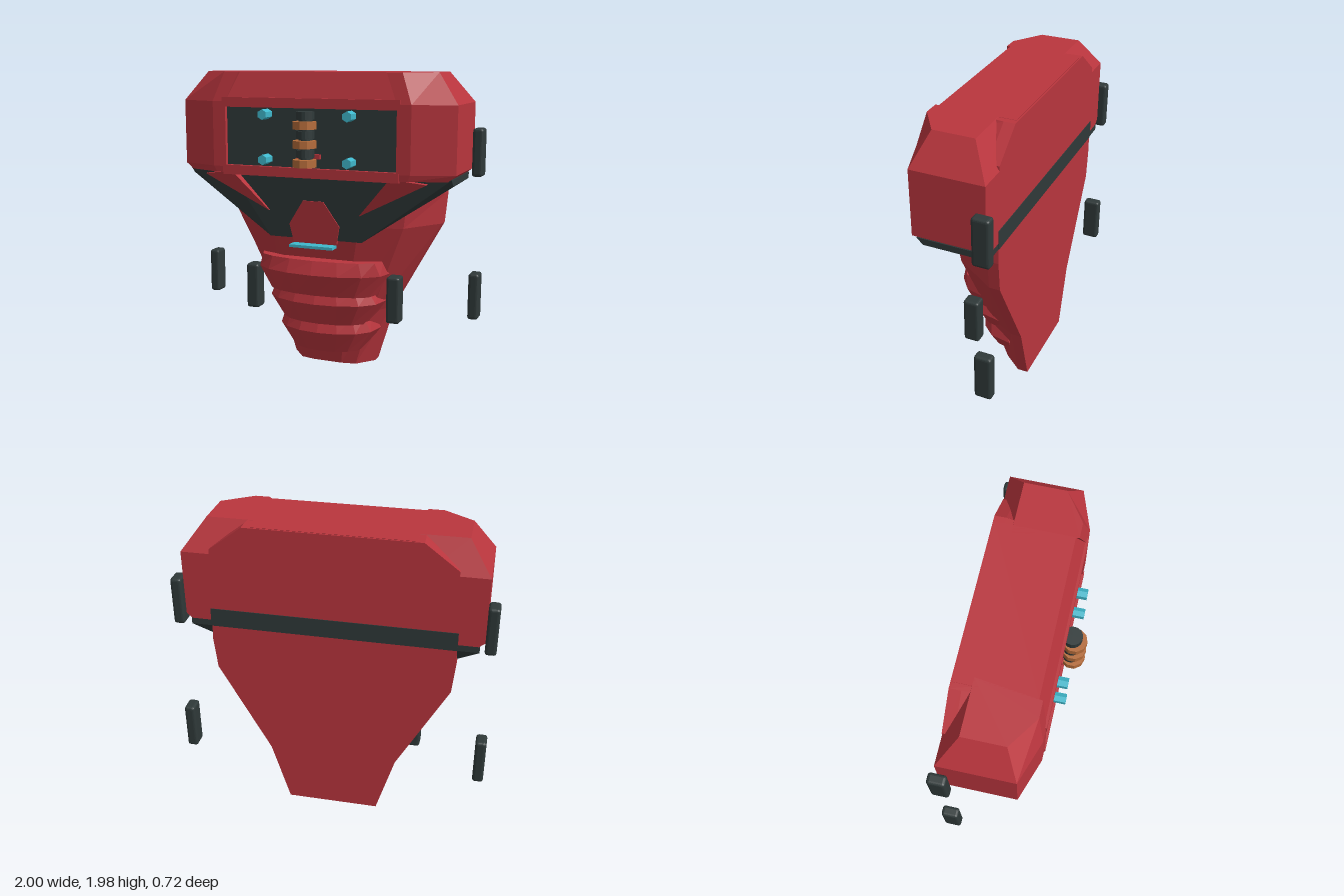
import * as THREE from 'three';
import { ConvexGeometry } from 'three/addons/geometries/ConvexGeometry.js';
import { RoundedBoxGeometry } from 'three/addons/geometries/RoundedBoxGeometry.js';

function paint(name, color) {
  const m = new THREE.MeshStandardMaterial({ color });
  m.name = name;
  return m;
}

// Faceted normals for hard-edged parts
function faceted(geometry) {
  const g = geometry.index ? geometry.toNonIndexed() : geometry;
  g.computeVertexNormals();
  return g;
}

// Closed solid through horizontal rings: levels = [y, [[x, z], ...]] from bottom to top
function loft(levels) {
  const pos = [];
  const rings = levels.map(([y, ring]) => {
    let area = 0;
    ring.forEach(([x, z], i) => {
      const [x2, z2] = ring[(i + 1) % ring.length];
      area += x * z2 - x2 * z;
    });
    return (area > 0 ? [...ring].reverse() : ring).map(([x, z]) => [x, y, z]);
  });
  const n = rings[0].length;
  const tri = (a, b, c) => pos.push(...a, ...b, ...c);
  for (let k = 0; k < rings.length - 1; k++) {
    for (let i = 0; i < n; i++) {
      const j = (i + 1) % n, a = rings[k], b = rings[k + 1];
      tri(a[i], a[j], b[j]);
      tri(a[i], b[j], b[i]);
    }
  }
  const bottom = rings[0], top = rings[rings.length - 1];
  for (let i = 1; i < n - 1; i++) {
    tri(top[0], top[i], top[i + 1]);
    tri(bottom[0], bottom[i + 1], bottom[i]);
  }
  const g = new THREE.BufferGeometry();
  g.setAttribute('position', new THREE.Float32BufferAttribute(pos, 3));
  g.computeVertexNormals();
  return g;
}

const mirrorRing = (half) => [...half, ...half.map(([x, z]) => [-x, z]).reverse()];
const hull = (points) => faceted(new ConvexGeometry(points.map((p) => new THREE.Vector3(...p))));
const bothSides = (points) => points.flatMap(([x, y, z]) => [[x, y, z], [-x, y, z]]);

export function createModel() {
  const model = new THREE.Group();
  const red = paint('red armour', 0xb9353d);
  const dark = paint('dark grey', 0x2f3939);
  const cyan = paint('cyan', 0x3fb8cc);
  const copper = paint('copper', 0xb56c3a);

  const add = (name, geometry, material, x = 0, y = 0, z = 0) => {
    const mesh = new THREE.Mesh(geometry, material);
    mesh.name = name;
    mesh.position.set(x, y, z);
    model.add(mesh);
    return mesh;
  };
  const box = (w, h, d) => new THREE.BoxGeometry(w, h, d);

  // Tapered torso shell: y, half width, chamfer x and z, front x and z
  const torso = [
    [0, 0.3, 0.2, -0.12, 0.1, -0.1],
    [0.4, 0.42, 0.33, -0.07, 0.17, 0],
    [1.0, 0.75, 0.57, 0.03, 0.3, 0.125],
    [1.2, 0.77, 0.6, 0.05, 0.32, 0.14],
    [1.82, 0.75, 0.6, 0.19, 0.55, 0.19],
    [1.978, 0.54, 0.5, 0.16, 0.4, 0.165],
  ];
  add('torsoShell', loft(torso.map(([y, w, cx, cz, fx, fz]) =>
    [y, mirrorRing([[w, -0.31], [w, -0.24], [cx, cz], [fx, fz]])])), red);

  // Sloped block between the shoulders
  add('upperChest', hull(bothSides([
    [0.6, 1.8, 0.235], [0.5, 1.98, 0.178], [0.6, 1.8, -0.25], [0.5, 1.98, -0.3],
  ])), red);

  // Dark underside of the chest
  add('lowerChest', hull(bothSides([
    [0.6, 1.34, 0.172], [0.9, 1.34, 0.14], [0.9, 1.34, -0.31], [0.9, 1.3, 0.1], [0.9, 1.3, -0.31],
    [0.75, 1.2, -0.25], [0.75, 1.2, -0.15], [0.32, 0.905, 0.12], [0.3, 0.905, 0.09],
  ])), dark);
  add('backStrip', box(1.54, 0.12, 0.008), dark, 0, 1.36, -0.31);

  for (const s of [1, -1]) {
    const side = s > 0 ? 'left' : 'right';
    const ring = (points) => points.map(([x, z]) => [s * x, z]);

    // Chamfered shoulder
    add(side + 'Shoulder', loft([
      [1.33, ring([[0.55, -0.31], [0.88, -0.31], [0.88, 0.15], [0.65, 0.235], [0.58, 0.235]])],
      [1.37, ring([[0.55, -0.31], [0.93, -0.31], [0.93, 0.15], [0.67, 0.24], [0.58, 0.24]])],
      [1.79, ring([[0.55, -0.31], [0.93, -0.31], [0.93, 0.15], [0.67, 0.24], [0.58, 0.24]])],
      [1.98, ring([[0.45, -0.19], [0.79, -0.19], [0.79, 0.07], [0.6, 0.2], [0.5, 0.2]])],
    ]), red);

    // Pointed rib below the shoulder
    add(side + 'ChestRib', hull([
      [0.31, 1.08, 0.155], [0.54, 1.34, 0.238], [0.76, 1.31, 0.195],
      [0.54, 1.34, 0.1], [0.76, 1.31, 0.08], [0.33, 1.09, 0.1],
    ].map(([x, y, z]) => [s * x, y, z])), red);

    // Free-standing side pads
    const outer = faceted(new RoundedBoxGeometry(0.07, 0.31, 0.112, 2, 0.018));
    add(side + 'UpperPad', outer, dark, s * 0.965, 1.47, -0.305);
    add(side + 'LowerPad', outer, dark, s * 0.965, 0.52, -0.305);
    add(side + 'WaistPad', faceted(new RoundedBoxGeometry(0.09, 0.31, 0.106, 2, 0.018)),
      dark, s * 0.505, 0.52, -0.013);

    // Hexagonal studs
    for (const y of [1.43, 1.715]) {
      const stud = faceted(new THREE.CylinderGeometry(0.033, 0.033, 0.1, 6).rotateX(Math.PI / 2));
      add(side + 'Stud', stud, cyan, s * 0.285, y, 0.255);
    }
  }

  // Framed chest panel
  add('chestPanel', box(1.17, 0.4, 0.05), dark, 0, 1.568, 0.19);
  add('topRail', box(1.2, 0.062, 0.07), red, 0, 1.787, 0.21);
  add('bottomRail', box(1.2, 0.062, 0.07), red, 0, 1.35, 0.21);
  add('coilSeat', box(0.16, 0.03, 0.03), red, 0, 1.457, 0.225);

  // Stacked coil of alternating discs
  for (let i = 0; i < 6; i++) {
    const wide = i % 2 === 0;
    const r = wide ? 0.075 : 0.058;
    add(wide ? 'copperRing' : 'darkRing', faceted(new THREE.CylinderGeometry(r, r, 0.048, wide ? 10 : 16)),
      wide ? copper : dark, 0, 1.42 + i * 0.059, wide ? 0.288 : 0.274);
  }
  add('coilCore', faceted(new THREE.CylinderGeometry(0.045, 0.045, 0.3, 12)), dark, 0, 1.567, 0.27);

  // Breastbone plate and light bar
  const plate = [[0.07, 1.16], [0.175, 1.0], [0.15, 0.88]];
  add('breastbonePlate', hull(bothSides(plate.flatMap(([x, y]) => {
    const z = 0.128 + 0.12 * (y - 0.905);
    return [[x, y, z], [x, y, z - 0.05]];
  }))), red);
  add('lightBar', box(0.3, 0.018, 0.08), cyan, 0, 0.866, 0.16);

  // Curved abdominal bands: y, half width, front z, end z
  const bands = [
    [[0.53, 0.375, 0.145, -0.04], [0.68, 0.465, 0.205, -0.07], [0.77, 0.43, 0.17, 0]],
    [[0.32, 0.31, 0.08, -0.12], [0.47, 0.41, 0.15, -0.15], [0.56, 0.36, 0.12, -0.1]],
    [[0.115, 0.25, 0.03, -0.16], [0.26, 0.355, 0.095, -0.2], [0.36, 0.31, 0.06, -0.13]],
  ];
  for (const band of bands) {
    add('abdomenBand', loft(band.map(([y, w, front, end]) => {
      const ring = [];
      for (let i = 0; i <= 8; i++) {
        const t = (i / 8) * Math.PI;
        ring.push([w * Math.cos(t), end + (front - end) * Math.max(0, Math.sin(t)) ** 0.75]);
      }
      return [y, ring];
    })), red);
  }

  return model;
}
